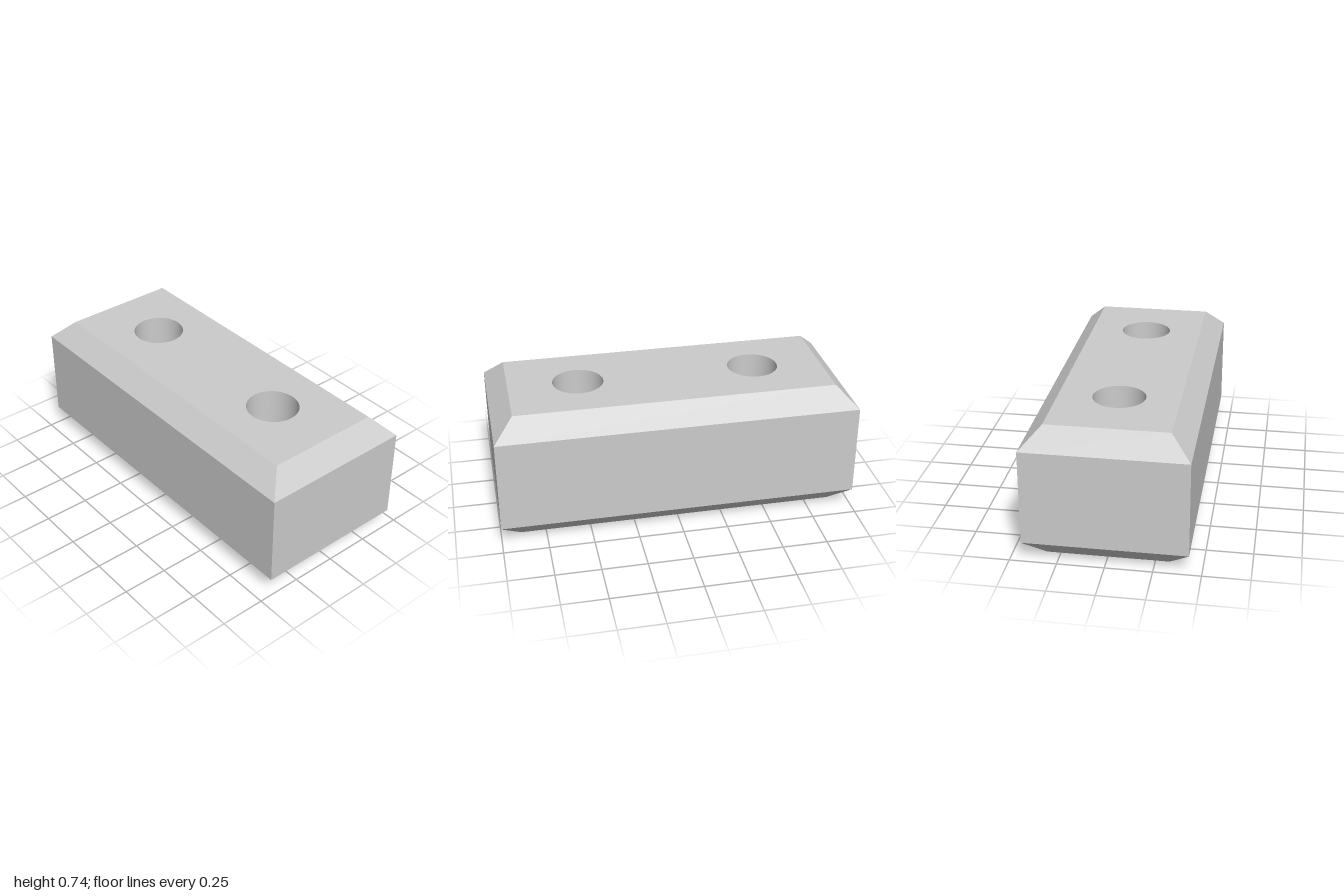
import * as THREE from 'three';

const W = 0.434, D = 1, H = 0.74, C = 0.11; // half width, half length, height, chamfer
const HOLE_R = 0.142, HOLE_Z = 0.5, HOLE_DEPTH = 0.4, SEGMENTS = 64;

// Chamfered sides and base from four rectangular cross-sections
function shellGeometry() {
  const rings = [[0, C], [C, 0], [H - C, 0], [H, C]].map(([y, inset]) => {
    const w = W - inset, d = D - inset;
    return [[w, y, d], [w, y, -d], [-w, y, -d], [-w, y, d]];
  });
  const positions = [];
  const quad = (a, b, c, d) => positions.push(...a, ...b, ...c, ...a, ...c, ...d);
  for (let k = 0; k < 3; k++) {
    for (let i = 0; i < 4; i++) {
      const j = (i + 1) % 4;
      quad(rings[k][i], rings[k][j], rings[k + 1][j], rings[k + 1][i]);
    }
  }
  quad(...[...rings[0]].reverse());
  const geometry = new THREE.BufferGeometry();
  geometry.setAttribute('position', new THREE.Float32BufferAttribute(positions, 3));
  geometry.computeVertexNormals();
  return geometry;
}

// Flat top pierced by the two holes
function topGeometry() {
  const w = W - C, d = D - C;
  const shape = new THREE.Shape([
    new THREE.Vector2(-w, -d), new THREE.Vector2(w, -d),
    new THREE.Vector2(w, d), new THREE.Vector2(-w, d),
  ]);
  for (const side of [-1, 1]) {
    shape.holes.push(new THREE.Path().absarc(0, side * HOLE_Z, HOLE_R, 0, Math.PI * 2, true));
  }
  return new THREE.ShapeGeometry(shape, SEGMENTS / 2).rotateX(-Math.PI / 2).translate(0, H, 0);
}

export function createModel() {
  const model = new THREE.Group();
  model.name = 'chamferedBlock';
  const material = new THREE.MeshStandardMaterial({ color: 0xcccccc });
  const add = (name, geometry, parent = model) => {
    const mesh = new THREE.Mesh(geometry, material);
    mesh.name = name;
    parent.add(mesh);
  };

  add('blockBody', shellGeometry());
  add('topFace', topGeometry());

  // Blind round holes: the wall profile runs downward so it faces inward
  for (const [name, side] of [['frontHole', 1], ['backHole', -1]]) {
    const hole = new THREE.Group();
    hole.name = name;
    hole.position.set(0, H, side * HOLE_Z);
    const profile = [new THREE.Vector2(HOLE_R, 0), new THREE.Vector2(HOLE_R, -HOLE_DEPTH)];
    add('holeWall', new THREE.LatheGeometry(profile, SEGMENTS), hole);
    add('holeFloor', new THREE.CircleGeometry(HOLE_R, SEGMENTS).rotateX(-Math.PI / 2).translate(0, -HOLE_DEPTH, 0), hole);
    model.add(hole);
  }
  return model;
}
